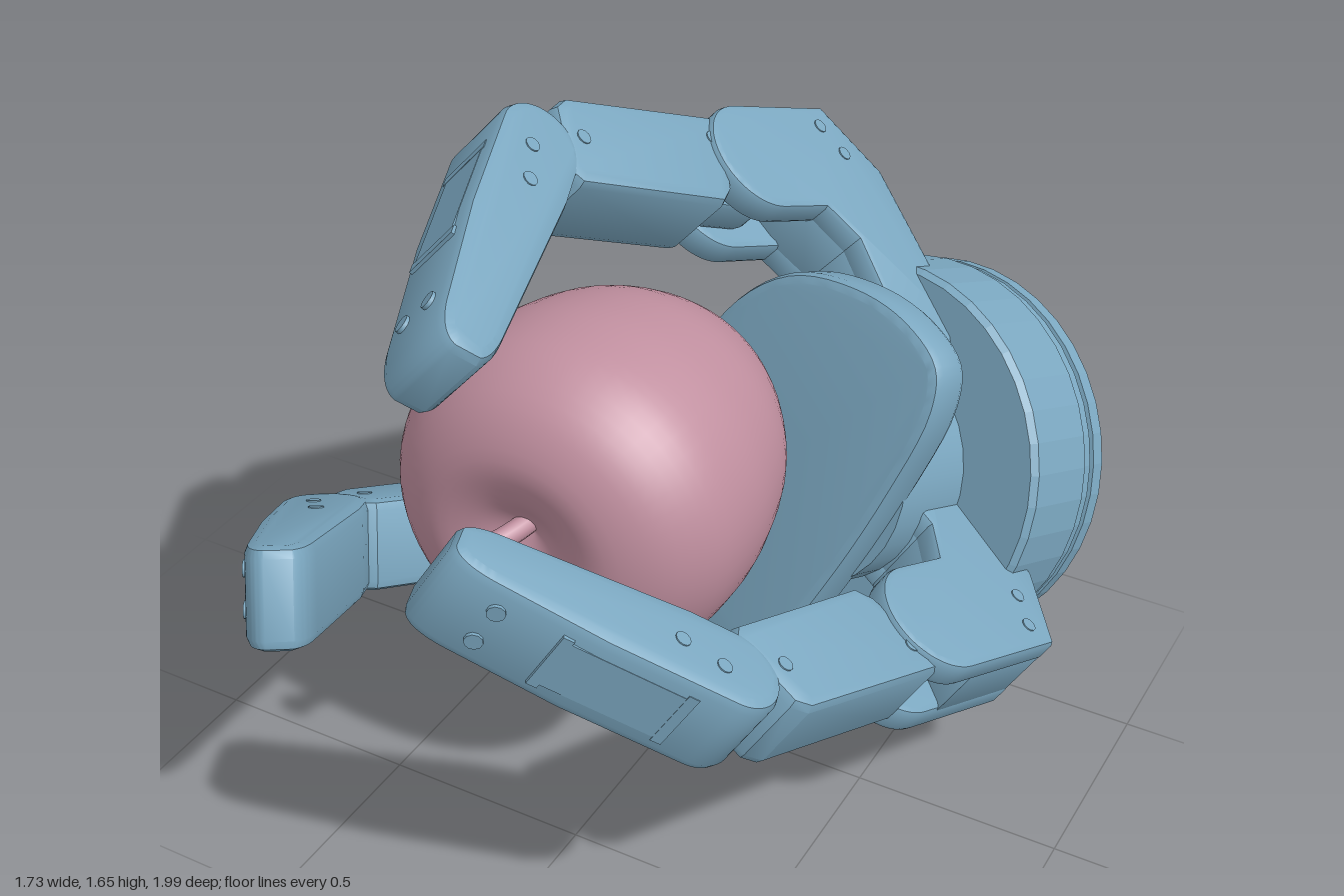
import * as THREE from 'three';
import { toCreasedNormals } from 'three/addons/utils/BufferGeometryUtils.js';

const metal = new THREE.MeshStandardMaterial({ color: 0x7ba7c0 });
const skin = new THREE.MeshStandardMaterial({ color: 0xc08f9f });

function add(parent, name, geometry, material = metal) {
  const mesh = new THREE.Mesh(geometry, material);
  mesh.name = name;
  parent.add(mesh);
  return mesh;
}

// Outline in XY extruded along z, centred, with softened edges
function slab(shape, width, bevel = 0.015) {
  const g = new THREE.ExtrudeGeometry(shape, {
    depth: width - 2 * bevel, bevelThickness: bevel, bevelSize: bevel,
    bevelOffset: -bevel, bevelSegments: 2, curveSegments: 14,
  });
  g.translate(0, 0, bevel - width / 2);
  return toCreasedNormals(g, 0.6);
}

function polygon(points) {
  return new THREE.Shape(points.map(([x, y]) => new THREE.Vector2(x, y)));
}

// Small screw heads on both sides of a segment
function pins(parent, width, spots) {
  for (const [x, y] of spots) {
    const pin = add(parent, 'pin', new THREE.CylinderGeometry(0.018, 0.018, width + 0.006, 12));
    pin.rotation.x = Math.PI / 2;
    pin.position.set(x, y, 0);
  }
}

// Group at p whose +y runs towards q; returns the length too
function segment(parent, name, p, q) {
  const g = new THREE.Group();
  g.name = name;
  g.position.set(p[0], p[1], 0);
  g.rotation.z = Math.atan2(p[0] - q[0], q[1] - p[1]);
  parent.add(g);
  return [g, Math.hypot(q[0] - p[0], q[1] - p[1])];
}

function proximal(parent, joint) {
  const g = new THREE.Group();
  g.name = 'proximalSegment';
  g.position.set(joint[0], joint[1], 0);
  parent.add(g);
  // bent side cheeks with a round knuckle
  const cheek = polygon([[-0.52, -0.45], [-0.03, -0.45], [0.16, -0.34], [0.16, 0]]);
  cheek.absarc(0.015, 0, 0.145, 0, Math.PI);
  cheek.lineTo(-0.13, -0.16);
  cheek.lineTo(-0.22, -0.22);
  cheek.lineTo(-0.52, -0.19);
  for (const side of [-1, 1]) {
    add(g, 'knuckleCheek', slab(cheek, 0.075)).position.z = side * 0.0875;
  }
  // core between the cheeks, open in front for the link
  const core = polygon([[-0.52, -0.449], [-0.03, -0.449], [0.159, -0.339], [0.159, -0.05],
    [-0.1, -0.14], [-0.22, -0.221], [-0.52, -0.191]]);
  add(g, 'knuckleCore', slab(core, 0.17, 0.002));
  // rim of the round opening on the sloped back
  const rim = add(g, 'openingRim', new THREE.TorusGeometry(0.042, 0.006, 8, 24).rotateX(Math.PI / 2));
  rim.position.set(0.065, -0.395, 0);
  rim.rotation.z = Math.PI / 6;
  pins(g, 0.25, [[0.1, -0.29], [0.02, -0.33]]);
}

function middle(parent, p, q) {
  const [g, L] = segment(parent, 'middleSegment', p, q);
  const body = polygon([[-0.115, 0.17], [-0.08, 0.13], [0.1, 0.06], [0.13, 0.09],
    [0.13, L - 0.13], [0.105, L - 0.09], [-0.07, L - 0.05], [-0.1, L - 0.08]]);
  add(g, 'middleBody', slab(body, 0.22, 0.025));
  // narrow link joining the two knuckles
  const link = new THREE.Shape();
  link.absarc(0, 0, 0.085, Math.PI, 2 * Math.PI);
  link.absarc(0, L, 0.075, 0, Math.PI);
  add(g, 'middleLink', slab(link, 0.1));
  pins(g, 0.22, [[0.06, 0.13], [0.02, L - 0.13]]);
}

function distal(parent, p, q) {
  const [g, L] = segment(parent, 'distalSegment', p, q);
  const body = new THREE.Shape();
  body.absarc(0, 0, 0.105, Math.PI, 2 * Math.PI);
  body.lineTo(0.105, 0.3);
  body.lineTo(0.085, L - 0.06);
  body.quadraticCurveTo(0.075, L + 0.03, 0.03, L + 0.035);
  body.lineTo(-0.03, L + 0.025);
  body.quadraticCurveTo(-0.06, L, -0.065, L - 0.08);
  body.lineTo(-0.105, 0.12);
  add(g, 'distalBody', slab(body, 0.225, 0.025));
  // outer cover plate with its end bars and tip screws
  add(g, 'coverPlate', new THREE.BoxGeometry(0.02, 0.27, 0.13)).position.set(0.096, 0.23, 0);
  for (const y of [0.085, 0.375]) {
    add(g, 'coverBar', new THREE.BoxGeometry(0.02, 0.025, 0.15)).position.set(0.097, y, 0);
  }
  for (const z of [-0.045, 0.045]) {
    const screw = add(g, 'tipScrew', new THREE.CylinderGeometry(0.02, 0.02, 0.03, 10));
    screw.rotation.z = Math.PI / 2;
    screw.position.set(0.08, L - 0.1, z);
  }
  pins(g, 0.225, [[0.02, 0.04], [0.0, 0.14]]);
}

function addFinger(hand, name, degrees, offset, j2, j3, tip) {
  const turn = new THREE.Group();
  turn.name = name;
  turn.rotation.y = THREE.MathUtils.degToRad(degrees);
  hand.add(turn);
  const f = new THREE.Group();
  f.name = name + 'Chain';
  f.position.z = offset;
  turn.add(f);
  proximal(f, j2);
  middle(f, j2, j3);
  distal(f, j3, tip);
}

function addBase(hand) {
  // stepped round housing
  const profile = [[0, 0], [0.472, 0], [0.482, 0.01], [0.482, 0.05], [0.468, 0.052], [0.468, 0.065],
    [0.482, 0.067], [0.482, 0.105], [0.492, 0.108], [0.492, 0.315], [0.478, 0.33], [0, 0.33]];
  const lathe = new THREE.LatheGeometry(profile.map(([r, y]) => new THREE.Vector2(r, y)), 40);
  add(hand, 'baseHousing', toCreasedNormals(lathe, 0.1));
  add(hand, 'neck', new THREE.CylinderGeometry(0.29, 0.29, 0.26, 32)).position.y = 0.44;
  // broad palm plate, mirrored across the thumb plane
  const half = [[0.26, 0.15], [0.235, 0.38], [0.18, 0.47], [0.05, 0.5], [-0.11, 0.47], [-0.28, 0.37], [-0.38, 0.18]];
  const all = [...half, ...half.map(([x, y]) => [x, -y]).reverse()];
  const curve = new THREE.CatmullRomCurve3(all.map(([x, y]) => new THREE.Vector3(x, y, 0)), true);
  const outline = new THREE.Shape(curve.getPoints(70).slice(0, -1).map(p => new THREE.Vector2(p.x, p.y)));
  const palm = add(hand, 'palm', slab(outline, 0.12, 0.025));
  palm.rotation.x = -Math.PI / 2;
  palm.position.y = 0.595;
}

function addFruit(root) {
  const fruit = new THREE.Group();
  fruit.name = 'fruit';
  fruit.position.set(-0.108, 0.82, 0);
  root.add(fruit);
  // round body with a dimple at each end, axis along z
  const pts = [[0, -0.19], [0.05, -0.205], [0.13, -0.245], [0.24, -0.215], [0.35, -0.06], [0.4, 0.1],
    [0.414, 0.23], [0.4, 0.36], [0.33, 0.47], [0.22, 0.528], [0.12, 0.515], [0.05, 0.475], [0, 0.455]];
  const spline = new THREE.SplineCurve(pts.map(([r, y]) => new THREE.Vector2(r, y)));
  const profile = spline.getPoints(48);
  profile[0].x = profile[48].x = 0;
  const body = add(fruit, 'fruitBody', new THREE.LatheGeometry(profile, 56), skin);
  body.rotation.x = Math.PI / 2;
  body.scale.set(1.02, 1, 0.975);
  // curved stem with a thicker end
  const stem = new THREE.QuadraticBezierCurve3(
    new THREE.Vector3(-0.01, 0.02, 0.42), new THREE.Vector3(-0.02, 0.01, 0.52), new THREE.Vector3(-0.09, -0.01, 0.61));
  add(fruit, 'stem', new THREE.TubeGeometry(stem, 12, 0.026, 10), skin);
  const knob = add(fruit, 'stemEnd', new THREE.SphereGeometry(0.036, 14, 10), skin);
  knob.position.set(-0.09, -0.01, 0.61);
  knob.scale.z = 0.7;
}

export function createModel() {
  const root = new THREE.Group();
  root.name = 'gripperHoldingFruit';

  // Hand frame: y from base to palm, x towards the thumb
  const hand = new THREE.Group();
  hand.name = 'hand';
  const axis = new THREE.Vector3(-0.245, 0.345, 0.906).normalize();
  const side = new THREE.Vector3(0.886, -0.3, 0.354);
  side.addScaledVector(axis, -side.dot(axis)).normalize();
  const basis = new THREE.Matrix4().makeBasis(side, axis, side.clone().cross(axis));
  hand.quaternion.setFromRotationMatrix(basis);
  hand.position.set(0.335, 0.45, -0.8);
  root.add(hand);

  addBase(hand);
  // joints given as [distance from axis, height along axis]
  addFinger(hand, 'thumb', -8, 0, [0.515, 0.69], [0.525, 1.37], [0.115, 1.84]);
  addFinger(hand, 'upperFinger', 161, 0.25, [0.625, 0.695], [0.685, 1.385], [0.215, 1.85]);
  addFinger(hand, 'lowerFinger', 217, -0.185, [0.76, 0.69], [0.83, 1.37], [0.39, 1.865]);
  addFruit(root);
  return root;
}
